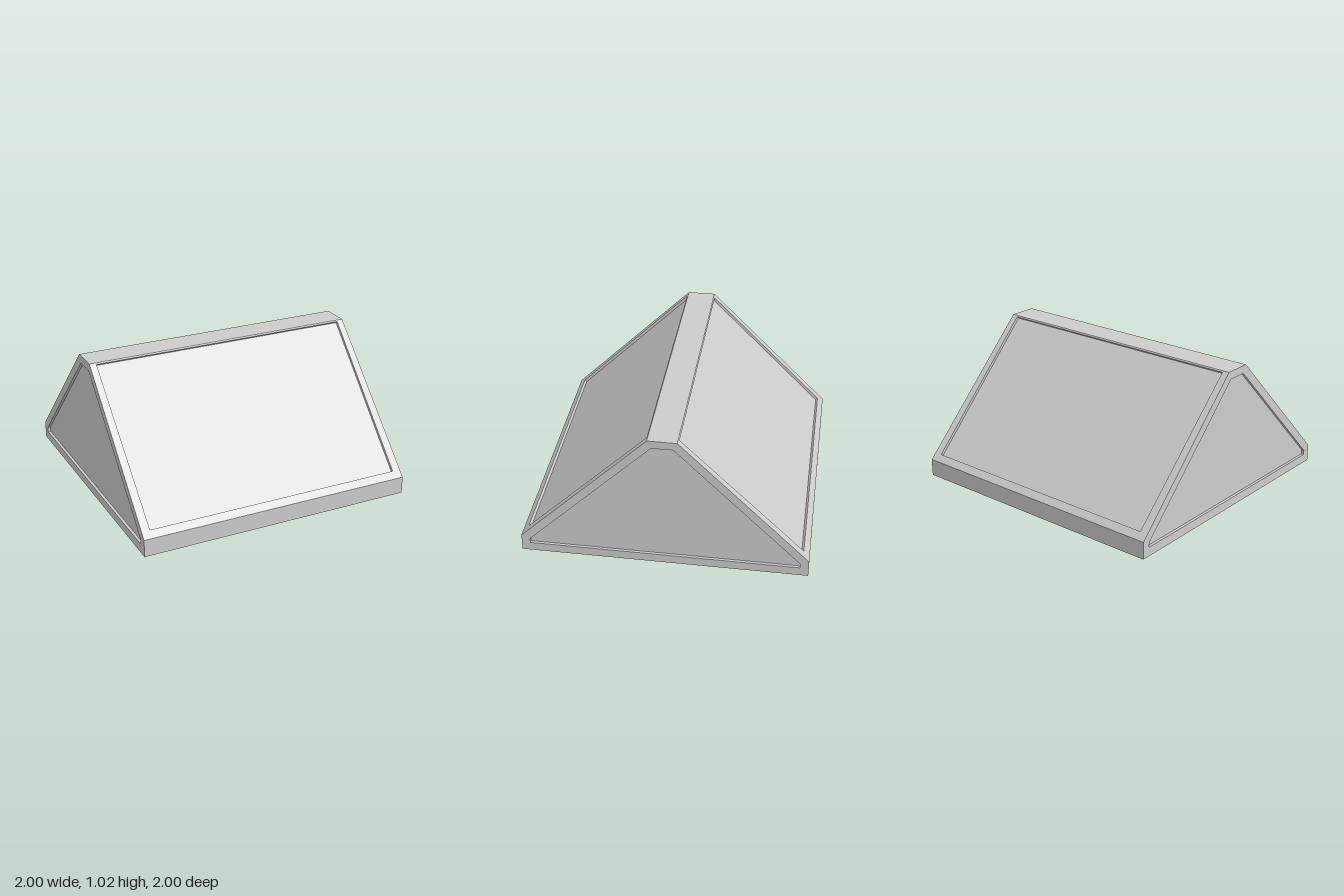
import * as THREE from 'three';

const material = new THREE.MeshStandardMaterial({ color: 0xcccccc, flatShading: true });
const DEPTH = 0.02; // how far each panel is sunk

// Convex polygon, corners counter-clockwise from outside. With an inner polygon,
// the face becomes a rim, recess walls and a sunken panel.
function makeFace(name, outer, inner) {
  const position = [];
  const polygon = (...p) => {
    for (let i = 1; i < p.length - 1; i++) {
      for (const v of [p[0], p[i], p[i + 1]]) position.push(v.x, v.y, v.z);
    }
  };
  if (!inner) {
    polygon(...outer);
  } else {
    const normal = outer[1].clone().sub(outer[0]).cross(outer[2].clone().sub(outer[1])).normalize();
    const floor = inner.map((v) => v.clone().addScaledVector(normal, -DEPTH));
    const n = outer.length;
    for (let i = 0; i < n; i++) {
      const j = (i + 1) % n;
      polygon(outer[i], outer[j], inner[j], inner[i]);
      polygon(inner[i], inner[j], floor[j], floor[i]);
    }
    polygon(...floor);
  }
  const geometry = new THREE.BufferGeometry();
  geometry.setAttribute('position', new THREE.Float32BufferAttribute(position, 3));
  geometry.computeVertexNormals();
  const mesh = new THREE.Mesh(geometry, material);
  mesh.name = name;
  return mesh;
}

const V = (x, y, z) => new THREE.Vector3(x, y, z);
// Rectangle spanning x, between a lower and an upper [y, z] line
const strip = (lo, hi, xLo = 1, xHi = xLo) =>
  [V(-xLo, ...lo), V(xLo, ...lo), V(xHi, ...hi), V(-xHi, ...hi)];

export function createModel() {
  const group = new THREE.Group();
  group.name = 'wedgeBlock';

  // End profiles as [y, z], seen from +x
  const profile = [[0, 1], [0, -1], [0.125, -1], [1.025, -0.1], [1.025, 0.1], [0.125, 1]];
  const inset = [[0.065, 0.94], [0.065, -0.94], [0.1, -0.94], [0.968, -0.073], [0.968, 0.073], [0.1, 0.94]];

  // Each half: a gable end, a sloping panel and a low upright edge
  for (const [side, turn] of [['front', 0], ['back', Math.PI]]) {
    const half = new THREE.Group();
    half.name = side + 'Half';
    half.rotation.y = turn;
    half.add(
      makeFace('gableEnd', profile.map((p) => V(1, ...p)), inset.map((p) => V(1, ...p))),
      makeFace('slopingPanel', strip([0.125, 1], [1.025, 0.1]),
        strip([0.167, 0.958], [1.017, 0.108], 0.94, 0.952)),
      makeFace('lowerEdge', strip([0, 1], [0.125, 1])),
    );
    group.add(half);
  }

  // Flat ridge and sunken underside
  group.add(makeFace('ridge', strip([1.025, 0.1], [1.025, -0.1])));
  group.add(makeFace('underside', strip([0, -1], [0, 1]), strip([0, -0.94], [0, 0.94], 0.94)));
  return group;
}
